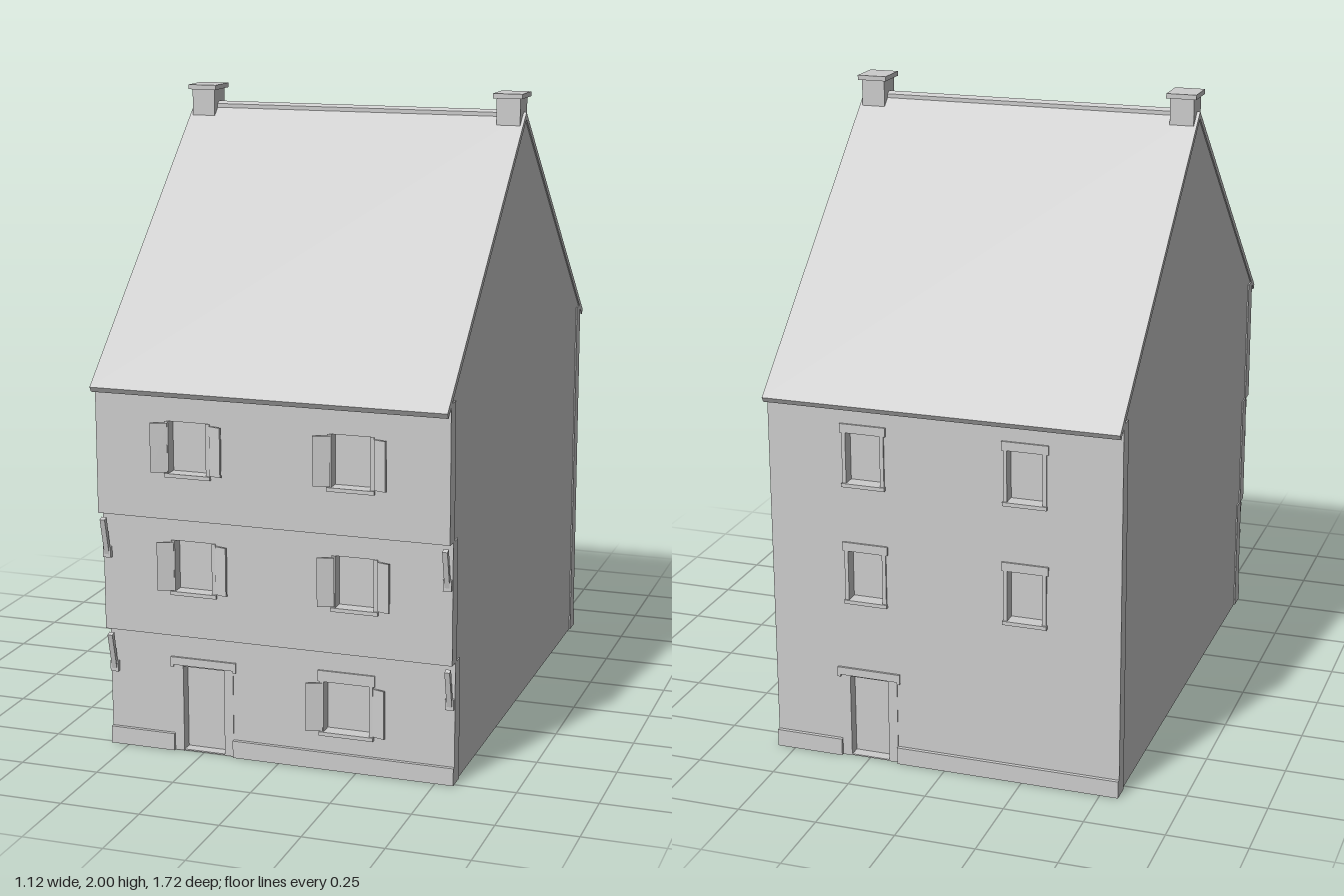
import * as THREE from 'three';

const stone = new THREE.MeshStandardMaterial({ color: 0xcccccc });
stone.name = 'plain grey';

const HALF = 0.5575;   // half width of the house
const THICK = 0.05;    // wall thickness

function add(parent, geometry, name) {
  const mesh = new THREE.Mesh(geometry, stone);
  mesh.name = name;
  parent.add(mesh);
  return mesh;
}

// Box given by its limits
function box(parent, name, x0, x1, y0, y1, z0, z1) {
  const mesh = add(parent, new THREE.BoxGeometry(x1 - x0, y1 - y0, z1 - z0), name);
  mesh.position.set((x0 + x1) / 2, (y0 + y1) / 2, (z0 + z1) / 2);
  return mesh;
}

// Profile of [z, y] points extruded along x, between x0 and x1
function profileX(parent, name, points, x0, x1) {
  const shape = new THREE.Shape(points.map(([z, y]) => new THREE.Vector2(-z, y)));
  const geometry = new THREE.ExtrudeGeometry(shape, { depth: x1 - x0, bevelEnabled: false });
  geometry.rotateY(Math.PI / 2).translate(x0, 0, 0);
  return add(parent, geometry, name);
}

// Wall facing +z with its outer face at z, pierced by [x0, x1, y0, y1] openings
function wall(parent, name, z, y0, y1, openings) {
  const rect = (T, a, b, c, d) => {
    const path = new T();
    path.moveTo(a, c);
    path.lineTo(b, c);
    path.lineTo(b, d);
    path.lineTo(a, d);
    path.closePath();
    return path;
  };
  const shape = rect(THREE.Shape, -HALF, HALF, y0, y1);
  for (const o of openings) shape.holes.push(rect(THREE.Path, ...o));
  const geometry = new THREE.ExtrudeGeometry(shape, { depth: THICK, bevelEnabled: false });
  add(parent, geometry.translate(0, 0, z - THICK), name);
  // Recessed panes close the openings
  for (const [a, b, c, d] of openings) box(parent, 'recessedPane', a, b, c, d, z - THICK, z - 0.035);
}

// Thin stone border with a head and sill around a window
function windowSurround(parent, z, [a, b, c, d], headHeight, out) {
  const g = new THREE.Group();
  g.name = 'windowSurround';
  parent.add(g);
  box(g, 'sill', a - 0.014, b + 0.014, c - 0.012, c, z - 0.01, z + out + 0.005);
  for (const [p, q] of [[a - 0.012, a], [b, b + 0.012]]) box(g, 'jamb', p, q, c, d, z - 0.01, z + out);
  if (headHeight) box(g, 'head', a - 0.018, b + 0.018, d, d + headHeight, z - 0.01, z + out);
}

// Pair of shutters hinged at the window, outer edges swung forward
function shutters(parent, z, [a, b, c, d]) {
  for (const side of [-1, 1]) {
    const hinge = new THREE.Group();
    hinge.name = side < 0 ? 'rightShutter' : 'leftShutter';
    hinge.position.set(side < 0 ? a - 0.003 : b + 0.014, 0, z + 0.004);
    hinge.rotation.y = -side * 0.3;
    box(hinge, 'shutterPanel', side < 0 ? -0.052 : 0, side < 0 ? 0 : 0.04, c + 0.003, d - 0.005, -0.003, 0.004);
    parent.add(hinge);
  }
}

// Doorway border with a head that turns down at both ends
function doorSurround(parent, z, [a, b, , d]) {
  const g = new THREE.Group();
  g.name = 'doorSurround';
  parent.add(g);
  box(g, 'doorHead', a - 0.04, b + 0.04, d + 0.005, d + 0.03, z - 0.01, z + 0.007);
  for (const x of [a - 0.04, b + 0.03]) box(g, 'headEnd', x, x + 0.01, d - 0.002, d + 0.005, z - 0.01, z + 0.007);
  for (const [p, q] of [[a - 0.03, a], [b, b + 0.03]]) box(g, 'doorJamb', p, q, 0, d + 0.005, z - 0.01, z + 0.002);
}

// Low plinth, interrupted at the door
function plinth(parent, z, [a, b]) {
  for (const [p, q] of [[-HALF, a - 0.03], [b + 0.03, HALF]]) box(parent, 'plinth', p, q, 0, 0.055, z - 0.01, z + 0.012);
}

// Leaning strut with a foot block, under the end of a jetty
function bracket(parent, x, y, z) {
  const g = new THREE.Group();
  g.name = 'jettyBracket';
  profileX(g, 'strut', [[z - 0.002, y], [z + 0.01, y], [z + 0.04, y + 0.125], [z + 0.024, y + 0.13]], x - 0.008, x + 0.008);
  box(g, 'bracketFoot', x - 0.013, x + 0.013, y - 0.002, y + 0.032, z - 0.005, z + 0.012);
  parent.add(g);
}

function buildFront(parent) {
  const front = new THREE.Group();
  front.name = 'front';
  parent.add(front);
  const door = [-0.315, -0.18, 0.004, 0.275];
  const shopWindow = [0.145, 0.29, 0.12, 0.28];
  wall(front, 'groundFloorWall', 0.75, 0, 0.385, [door, shopWindow]);
  doorSurround(front, 0.75, door);
  plinth(front, 0.75, door);
  windowSurround(front, 0.75, shopWindow, 0.035, 0.006);
  shutters(front, 0.75, shopWindow);
  // Two upper storeys, each set further forward
  for (const [z, y0, y1, sill] of [[0.785, 0.385, 0.765, 0.53], [0.82, 0.765, 1.185, 0.91]]) {
    const windows = [-0.26, 0.255].map((x) => [x - 0.06, x + 0.06, sill, sill + 0.16]);
    wall(front, 'upperWall', z, y0, y1, windows);
    for (const w of windows) {
      windowSurround(front, z, w, 0, 0.004);
      shutters(front, z, w);
    }
    for (const x of [-0.543, 0.543]) bracket(front, x, y0 - 0.145, z - 0.035);
  }
}

function buildBack(parent) {
  const back = new THREE.Group();
  back.name = 'back';
  back.rotation.y = Math.PI;
  parent.add(back);
  const door = [-0.31, -0.185, 0.004, 0.27];
  const windows = [];
  for (const y of [0.53, 0.91]) for (const x of [-0.25, 0.26]) windows.push([x - 0.055, x + 0.055, y, y + 0.16]);
  wall(back, 'backWall', 0.82, 0, 1.185, [door, ...windows]);
  doorSurround(back, 0.82, door);
  plinth(back, 0.82, door);
  for (const w of windows) windowSurround(back, 0.82, w, 0.028, 0.006);
}

export function createModel() {
  const house = new THREE.Group();
  house.name = 'house';
  buildFront(house);
  buildBack(house);

  // Gable walls, stepped along the front with the jetties
  const gable = [[-0.815, 0], [0.745, 0], [0.745, 0.385], [0.78, 0.385], [0.78, 0.765], [0.815, 0.765],
    [0.815, 1.185], [0, 1.925], [-0.815, 1.185]];
  profileX(house, 'leftGable', gable, HALF - THICK, HALF - 0.004);
  profileX(house, 'rightGable', gable, -HALF + 0.004, -HALF + THICK);

  // Roof slab and ridge capping
  profileX(house, 'roof', [[-0.848, 1.149], [-0.858, 1.165], [0, 1.94], [0.858, 1.165], [0.848, 1.149], [0, 1.917]], -HALF, HALF);
  profileX(house, 'ridgeCap', [[-0.016, 1.925], [-0.016, 1.938], [0, 1.946], [0.016, 1.938], [0.016, 1.925]], -0.475, 0.475);

  // Chimneys at both ends of the ridge
  for (const side of [-1, 1]) {
    const chimney = new THREE.Group();
    chimney.name = side < 0 ? 'rightChimney' : 'leftChimney';
    chimney.position.x = side * 0.51;
    box(chimney, 'shaft', -0.038, 0.038, 1.893, 1.986, -0.043, 0.043);
    box(chimney, 'chimneyCap', -0.0475, 0.0475, 1.985, 2, -0.055, 0.055);
    house.add(chimney);
  }
  return house;
}
